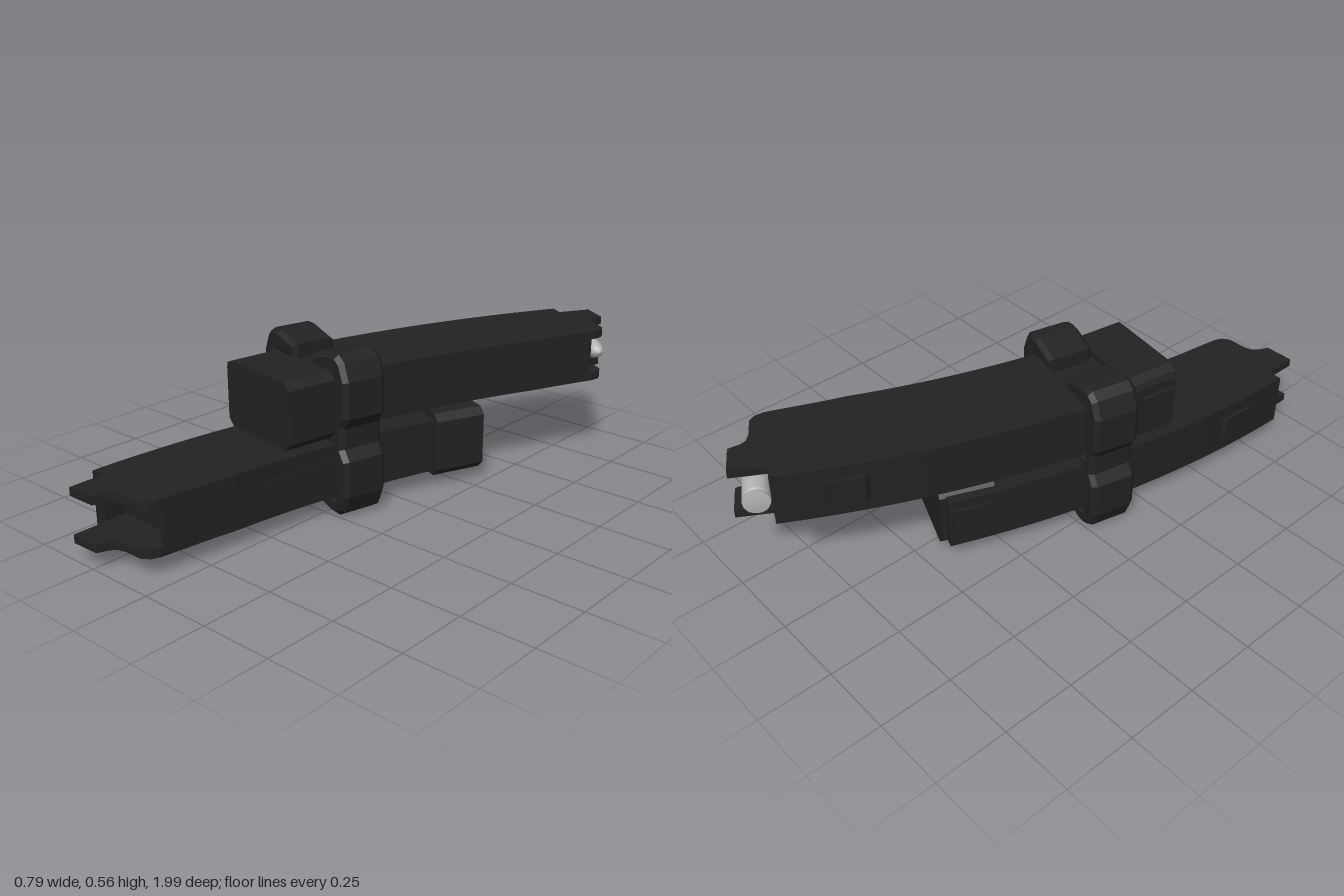
import * as THREE from 'three';

const R = 3.5275;                 // radius of the curved centre line
const TILT = 15.65 * Math.PI / 180;

const polymer = new THREE.MeshStandardMaterial({ color: 0x222222 });
polymer.name = 'black polymer';
const metal = new THREE.MeshStandardMaterial({ color: 0xb4b4b4 });
metal.name = 'pale metal';

// u runs across the curve (towards its centre), s runs along it
const bend = (u, s) => [R - (R - u) * Math.cos(s / R), (R - u) * Math.sin(s / R)];

function add(parent, name, geometry, material = polymer) {
  const mesh = new THREE.Mesh(geometry, material);
  mesh.name = name;
  parent.add(mesh);
  return mesh;
}

// Outline in (u, s), bent along the arc and raised from y0 to y1
function curvedPrism(outline, y0, y1) {
  const pts = [];
  outline.forEach(([u, s], i) => {
    const [u2, s2] = outline[(i + 1) % outline.length];
    const n = Math.max(1, Math.ceil(Math.abs(s2 - s) / 0.1));
    for (let k = 0; k < n; k++) {
      pts.push(new THREE.Vector2(...bend(u + (u2 - u) * k / n, s + (s2 - s) * k / n)));
    }
  });
  const g = new THREE.ExtrudeGeometry(new THREE.Shape(pts), { depth: y1 - y0, bevelEnabled: false });
  g.rotateX(-Math.PI / 2);
  g.translate(0, y0, 0);
  return g;
}

const rect = (u0, u1, s0, s1) => [[u0, s0], [u1, s0], [u1, s1], [u0, s1]];

// Straight group sitting on the arc at s
function station(parent, name, s) {
  const g = new THREE.Group();
  const [x, d] = bend(0, s);
  g.name = name;
  g.position.set(x, 0, -d);
  g.rotation.y = -s / R;
  parent.add(g);
  return g;
}

function createMagazine(name) {
  const mag = new THREE.Group();
  mag.name = name;
  const H = 0.0925, LIP = 0.064;

  add(mag, 'body', curvedPrism(
    [[-0.1715, -0.39], [0.1725, -0.39], [0.1725, 0.62], [0.158, 0.82], [-0.1715, 0.82]], -H, H));

  // Feed lips, one on each side of the opening
  const lip = [[-0.1715, 0.82], [0.158, 0.82], [0.15, 0.9], [0.138, 0.93], [0.115, 0.948],
    [0.045, 0.95], [0.015, 0.958], [0, 0.975], [-0.015, 1.013], [-0.12, 1.013], [-0.12, 0.896], [-0.1715, 0.896]];
  add(mag, 'lowerFeedLip', curvedPrism(lip, -H, -LIP));
  add(mag, 'upperFeedLip', curvedPrism(lip, LIP, H));
  add(mag, 'spineWall', curvedPrism(rect(-0.1715, -0.125, 0.82, 0.896), -LIP, LIP));
  add(mag, 'frontWall', curvedPrism([[0.135, 0.82], [0.158, 0.82], [0.151, 0.885], [0.135, 0.885]], -LIP, LIP));

  // Catch on the outer curve and shallow ribs on the inner curve
  add(mag, 'catch', curvedPrism([[-0.165, 0.61], [-0.165, 0.74], [-0.184, 0.735], [-0.184, 0.63]], -0.048, 0.048));
  add(mag, 'innerRib', curvedPrism(rect(0.168, 0.177, -0.2, 0.6), -0.04, 0.04));

  // Base pad with chamfered corners
  const base = station(mag, 'basePad', -0.41);
  const a = -0.142, b = 0.195, h = 0.114, c = 0.025;
  const pad = new THREE.Shape([[a + c, -h], [b - c, -h], [b, -h + c], [b, h - c], [b - c, h],
    [a + c, h], [a, h - c], [a, -h + c]].map(p => new THREE.Vector2(...p)));
  const padGeo = new THREE.ExtrudeGeometry(pad, { depth: 0.185, bevelEnabled: false });
  padGeo.translate(0, 0, -0.185);
  add(base, 'pad', padGeo);
  add(mag, 'baseSpine', curvedPrism(rect(-0.185, -0.13, -0.38, -0.26), -0.06, 0.06));
  return mag;
}

// Cartridge lying across the feed opening
function createCartridge() {
  const profile = [[0, 0], [0.042, 0], [0.044, 0.008], [0.037, 0.014], [0.037, 0.02], [0.044, 0.026], [0.043, 0.17],
    [0.038, 0.19], [0.037, 0.22], [0.028, 0.265], [0.015, 0.29], [0, 0.295]];
  const g = new THREE.LatheGeometry(profile.map(p => new THREE.Vector2(...p)), 20);
  g.rotateZ(-Math.PI / 2);
  g.translate(-0.17, 0, 0);
  return g;
}

// Half of the coupling clamp: a jaw around both magazines with a centre web
function createJaw() {
  const outline = [[0, 0.247], [0.174, 0.247], [0.174, 0.06], [0.05, 0.06], [0.05, 0.026], [0.155, 0], [0.19, 0],
    [0.222, 0.02], [0.247, 0.08], [0.247, 0.205], [0.222, 0.242], [0.222, 0.313], [0.247, 0.35], [0.247, 0.475],
    [0.222, 0.535], [0.19, 0.555], [0.155, 0.555], [0.05, 0.529], [0.05, 0.478], [0.174, 0.478],
    [0.174, 0.29], [0, 0.29]];
  const g = new THREE.ExtrudeGeometry(new THREE.Shape(outline.map(p => new THREE.Vector2(...p))), {
    depth: 0.13, bevelEnabled: true, bevelSegments: 1, bevelSize: 0.014, bevelThickness: 0.016, bevelOffset: -0.014,
  });
  g.translate(0, 0, -0.065);
  return g;
}

export function createModel() {
  const model = new THREE.Group();
  model.name = 'coupledMagazines';
  const frame = new THREE.Group();
  frame.name = 'assembly';
  frame.position.set(-0.081, 0, -0.002);
  frame.rotation.y = -TILT;
  model.add(frame);

  const upper = createMagazine('upperMagazine');
  upper.position.y = 0.385;
  frame.add(upper);
  add(station(upper, 'loadedRound', 0.94), 'cartridge', createCartridge(), metal);

  // Second magazine is turned end for end
  const lower = createMagazine('lowerMagazine');
  lower.position.y = 0.1535;
  lower.rotation.x = Math.PI;
  frame.add(lower);

  const clamp = station(frame, 'clamp', -0.132);
  add(clamp, 'leftJaw', createJaw());
  const right = add(clamp, 'rightJaw', createJaw());
  right.rotation.y = Math.PI;
  return model;
}
